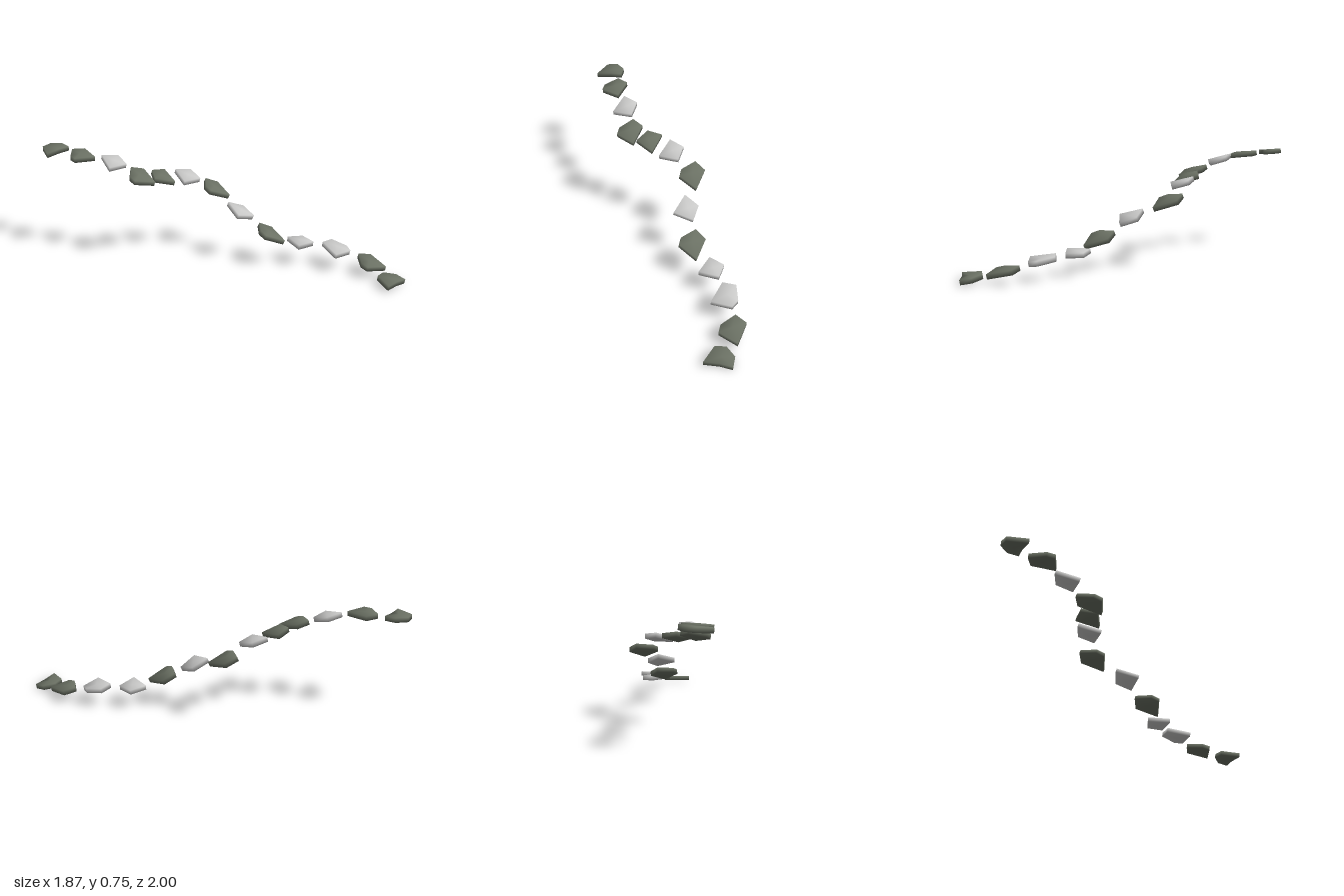
import * as THREE from 'three';

// Stone outlines seen from above, [x, z] clockwise around the centre
const outlines = {
  five: [[-0.018, -0.096], [0.07, -0.071], [0.077, 0.095], [-0.066, 0.073], [-0.077, 0.016]],
  four: [[-0.059, -0.082], [0.057, -0.061], [0.07, 0.057], [-0.07, 0.082]],
  wedge: [[-0.038, -0.065], [0.07, -0.083], [0.07, 0.083], [-0.07, 0.05]],
  broad: [[-0.07, -0.077], [0.022, -0.098], [0.079, 0.01], [0.063, 0.072], [-0.079, 0.098]],
  end: [[-0.073, -0.056], [-0.003, -0.085], [0.074, -0.04], [0.092, 0.036], [0.008, 0.05], [-0.092, 0.085]],
};

// Outline, colour, centre x y z, slope along x, slope along z
const stones = [
  ['end', 'dark', -0.846, 0.732, -0.917, 0.05, -0.08],
  ['five', 'dark', -0.732, 0.72, -0.727, 0, -0.1],
  ['four', 'light', -0.544, 0.689, -0.551, -0.06, -0.29],
  ['five', 'dark', -0.433, 0.615, -0.377, -0.13, -0.3],
  ['wedge', 'dark', -0.272, 0.59, -0.358, -0.2, -0.26],
  ['four', 'light', -0.066, 0.565, -0.333, -0.1, -0.27],
  ['five', 'dark', 0.113, 0.463, -0.272, -0.32, -0.3],
  ['four', 'light', 0.193, 0.35, -0.016, -0.33, -0.29],
  ['five', 'dark', 0.31, 0.226, 0.167, -0.38, -0.28],
  ['four', 'light', 0.516, 0.155, 0.283, -0.08, -0.03],
  ['broad', 'light', 0.699, 0.137, 0.468, -0.1, -0.17],
  ['five', 'dark', 0.819, 0.083, 0.68, -0.1, -0.19],
  ['end', 'dark', 0.839, 0.035, 0.905, -0.1, -0.13],
];

// Tilted slab with soft shared normals: rings of top and bottom corners plus two centres
function slab(outline, slopeX, slopeZ, thickness) {
  const n = outline.length;
  const up = new THREE.Vector3(-slopeX, 1, -slopeZ).normalize();
  const pos = [], index = [];
  for (const side of [0.5, -0.5]) {
    for (const [x, z] of [...outline, [0, 0]]) {
      pos.push(...new THREE.Vector3(x, slopeX * x + slopeZ * z, z).addScaledVector(up, side * thickness).toArray());
    }
  }
  const b = n + 1;
  for (let i = 0; i < n; i++) {
    const j = (i + 1) % n;
    index.push(n, j, i, b + n, b + i, b + j); // top and bottom
    index.push(i, j, b + j, i, b + j, b + i); // rim
  }
  const g = new THREE.BufferGeometry();
  g.setAttribute('position', new THREE.Float32BufferAttribute(pos, 3));
  g.setIndex(index);
  g.computeVertexNormals();
  return g;
}

export function createModel() {
  const materials = {
    dark: new THREE.MeshStandardMaterial({ color: 0x6b7164 }),
    light: new THREE.MeshStandardMaterial({ color: 0xc9c9c8 }),
  };
  materials.dark.name = 'mossy grey stone';
  materials.light.name = 'pale stone';

  const group = new THREE.Group();
  group.name = 'steppingStonePath';
  stones.forEach(([shape, colour, x, y, z, slopeX, slopeZ], i) => {
    const stone = new THREE.Mesh(slab(outlines[shape], slopeX, slopeZ, 0.034), materials[colour]);
    stone.name = `steppingStone${i + 1}`;
    stone.position.set(x, y, z);
    group.add(stone);
  });
  return group;
}
